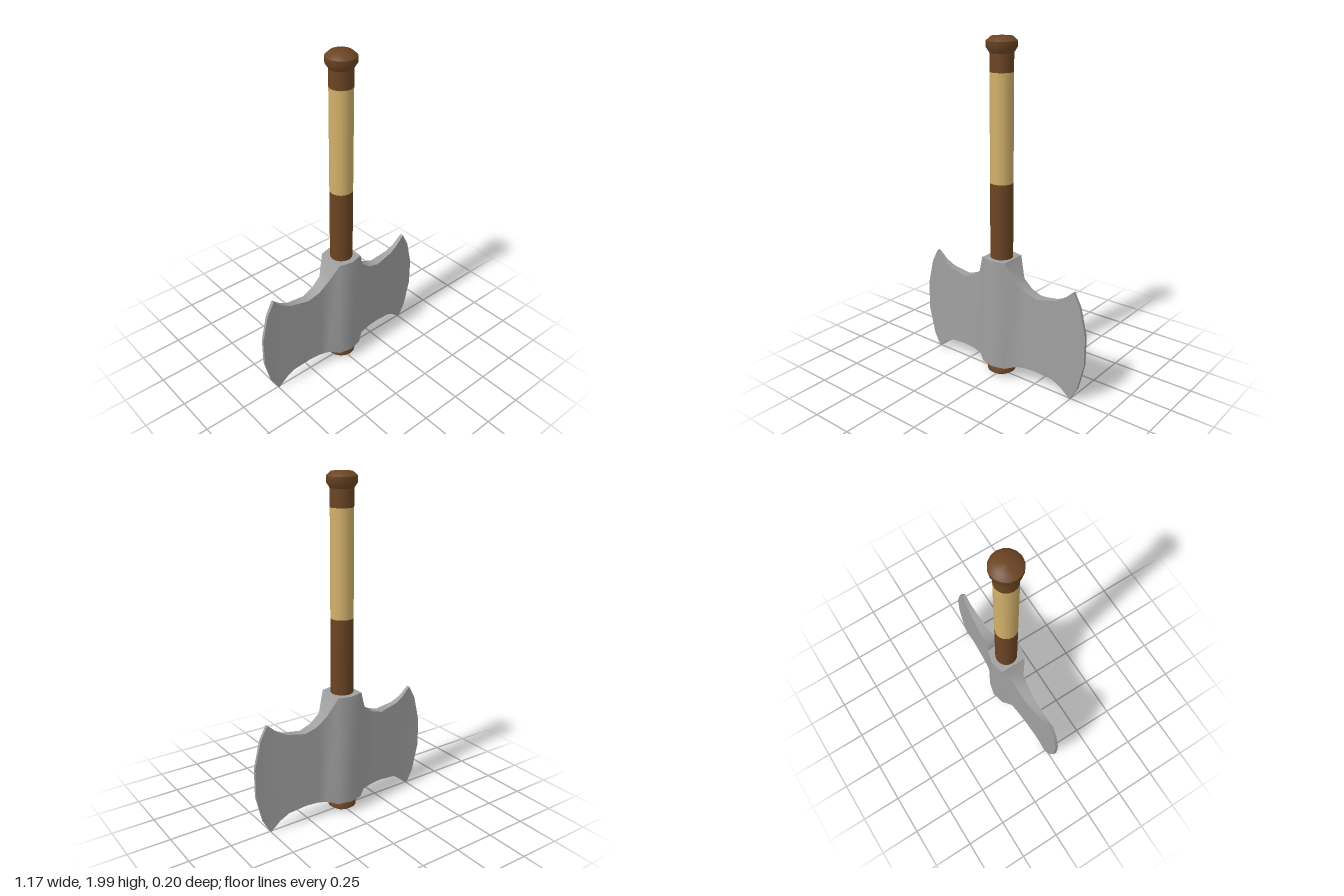
import * as THREE from 'three';
import { toCreasedNormals } from 'three/addons/utils/BufferGeometryUtils.js';

const material = (color) => new THREE.MeshStandardMaterial({ color });
const v2 = (p) => new THREE.Vector2(p[0], p[1]);

// Half of the axe head, from hub to cutting edge: [x, bottom y, top y, half thickness]
const HALF = [
  [0, 0.083, 0.757, 0.1],
  [0.08, 0.083, 0.757, 0.08],
  [0.135, 0.097, 0.642, 0.039],
  [0.195, 0.11, 0.595, 0.034],
  [0.27, 0.112, 0.57, 0.028],
  [0.385, 0.096, 0.592, 0.019],
  [0.44, 0.065, 0.62, 0.0145],
  [0.5, 0.01, 0.675, 0.01],
  [0.545, 0.09, 0.592, 0.009],
  [0.585, 0.255, 0.43, 0.008],
];

// Rectangular cross-sections lofted along x
function headGeometry() {
  const mirrored = HALF.slice(1).reverse().map(([x, b, t, z]) => [-x, b, t, z]);
  const sections = [...mirrored, ...HALF];
  const positions = [], index = [];
  for (const [x, b, t, z] of sections) {
    positions.push(x, b, z, x, b, -z, x, t, -z, x, t, z);
  }
  const last = (sections.length - 1) * 4;
  for (let i = 0; i < last; i += 4) {
    for (let k = 0; k < 4; k++) {
      const a = i + k, b = i + (k + 1) % 4;
      index.push(a, b, a + 4, b, b + 4, a + 4);
    }
  }
  index.push(2, 1, 0, 3, 2, 0);
  index.push(last, last + 1, last + 2, last, last + 2, last + 3);
  const g = new THREE.BufferGeometry();
  g.setAttribute('position', new THREE.Float32BufferAttribute(positions, 3));
  g.setIndex(index);
  return toCreasedNormals(g, 0.9);
}

export function createModel() {
  const group = new THREE.Group();
  const wood = material(0x6b4423);
  const wrap = material(0xd2b06a);
  const steel = material(0xa0a0a0);

  const add = (name, geometry, mat) => {
    const mesh = new THREE.Mesh(geometry, mat);
    mesh.name = name;
    group.add(mesh);
    return mesh;
  };
  const lathe = (points) =>
    toCreasedNormals(new THREE.LatheGeometry(points.map(v2), 16), 0.75);
  const shaft = (name, y0, y1, mat) => {
    const g = new THREE.CylinderGeometry(0.066, 0.066, y1 - y0, 16, 1, true);
    add(name, g, mat).position.y = (y0 + y1) / 2;
  };

  // Handle: wooden ends around a pale grip
  shaft('lowerHandle', 0.07, 1.2, wood);
  shaft('gripWrap', 1.2, 1.81, wrap);
  shaft('upperHandle', 1.81, 1.93, wood);

  // Rounded knobs at both ends
  add('topKnob', lathe([
    [0.066, 1.91], [0.086, 1.94], [0.086, 1.972], [0.06, 1.995], [0, 2],
  ]), wood);
  add('bottomKnob', lathe([
    [0, 0.01], [0.055, 0.013], [0.084, 0.033], [0.084, 0.065], [0.066, 0.09],
  ]), wood);

  // Double-bladed head
  add('axeHead', headGeometry(), steel);
  return group;
}
